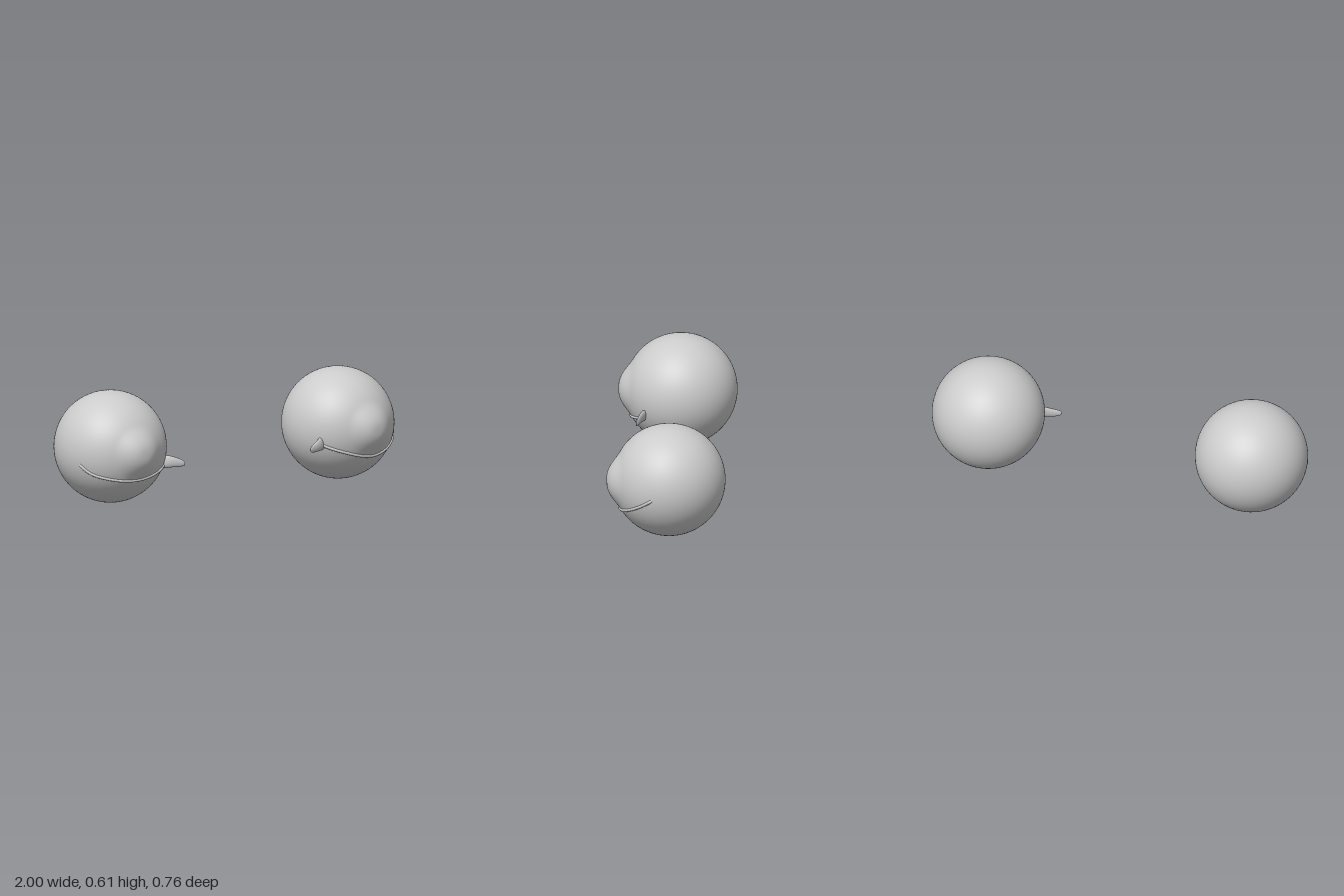
import * as THREE from 'three';

const R = 0.291;
const material = new THREE.MeshStandardMaterial({ color: 0xcccccc, roughness: 0.6, side: THREE.DoubleSide });

// Sphere whose front pole (+z) swells smoothly into a cornea
function eyeballGeometry() {
  const profile = [];
  const steps = 72;
  for (let i = 0; i <= steps; i++) {
    const a = Math.PI * (1 - i / steps); // angle from the front pole
    const r = R + 0.031 * (1 - THREE.MathUtils.smoothstep(THREE.MathUtils.radToDeg(a), 4, 31));
    profile.push(new THREE.Vector2(Math.max(0, r * Math.sin(a)), r * Math.cos(a)));
  }
  return new THREE.LatheGeometry(profile, 72).rotateX(Math.PI / 2);
}

// Thin wet line along the lower lid; points are (x, y) projected onto the ball
function tearLineGeometry(points) {
  const path = points.map(([x, y], i) => {
    const z = Math.sqrt(Math.max(0.0005, R * R - x * x - y * y));
    const end = i === points.length - 1;
    return new THREE.Vector3(x, y, z).setLength(end ? R * 0.985 : R * 1.002);
  });
  const curve = new THREE.CatmullRomCurve3(path);
  // keep the whole curve on the surface of the ball
  const onBall = curve.getPoints(40).map((p, i) => p.setLength(R * (i > 38 ? 0.98 : 1.002)));
  return new THREE.TubeGeometry(new THREE.CatmullRomCurve3(onBall), 80, 0.008, 8);
}

// Loft of flat ellipses; each section is [x, y, z, lean, halfHeight, halfDepth]
function caruncleGeometry(sections) {
  const sides = 16, pos = [], index = [];
  sections.forEach(([x, y, z, lean, h, d]) => {
    for (let j = 0; j < sides; j++) {
      const a = (j / sides) * Math.PI * 2;
      pos.push(x + lean * Math.sin(a), y + h * Math.sin(a), z + d * Math.cos(a));
    }
  });
  for (let i = 0; i < sections.length - 1; i++) {
    for (let j = 0; j < sides; j++) {
      const a = i * sides + j, b = i * sides + (j + 1) % sides;
      index.push(a, b, a + sides, b, b + sides, a + sides);
    }
  }
  // rounded-off tip
  const last = (sections.length - 1) * sides;
  const tip = sections[sections.length - 1];
  pos.push(tip[0], tip[1], tip[2]);
  for (let j = 0; j < sides; j++) index.push(last + j, last + (j + 1) % sides, last + sides);
  const g = new THREE.BufferGeometry();
  g.setAttribute('position', new THREE.Float32BufferAttribute(pos, 3));
  g.setIndex(index);
  g.computeVertexNormals();
  return g;
}

function createEye(name, { center, yaw, line, caruncle }) {
  const eye = new THREE.Group();
  eye.name = name;
  eye.position.set(...center);
  const add = (part, geometry) => {
    const mesh = new THREE.Mesh(geometry, material);
    mesh.name = part;
    eye.add(mesh);
    return mesh;
  };
  add('eyeball', eyeballGeometry()).rotation.y = yaw;
  add('tearLine', tearLineGeometry(line));
  add('caruncle', caruncleGeometry(caruncle));
  return eye;
}

export function createModel() {
  const model = new THREE.Group();
  model.name = 'eyes';

  // All part coordinates are relative to the centre of their ball
  model.add(createEye('leftEye', {
    center: [0.708, 0.292, 0.061],
    yaw: 0,
    line: [[-0.238, -0.07], [-0.14, -0.112], [0.02, -0.143], [0.15, -0.113], [0.23, -0.07], [0.272, -0.024]],
    caruncle: [
      [-0.235, -0.062, 0.145, -0.01, 0.032, 0.016],
      [-0.255, -0.064, 0.158, -0.01, 0.031, 0.015],
      [-0.285, -0.07, 0.168, -0.006, 0.026, 0.012],
      [-0.315, -0.075, 0.177, -0.003, 0.021, 0.009],
      [-0.336, -0.076, 0.183, 0.0, 0.016, 0.006],
      [-0.345, -0.077, 0.185, 0.0, 0.009, 0.003],
    ],
  }));

  model.add(createEye('rightEye', {
    center: [-0.708, 0.318, -0.089],
    yaw: -0.11,
    line: [[0.18, -0.095], [0.08, -0.122], [-0.06, -0.139], [-0.165, -0.127], [-0.243, -0.096], [-0.279, -0.045]],
    caruncle: [
      [0.182, -0.08, 0.197, 0.01, 0.032, 0.016],
      [0.205, -0.077, 0.209, 0.01, 0.032, 0.015],
      [0.235, -0.08, 0.224, 0.006, 0.027, 0.012],
      [0.262, -0.085, 0.235, 0.003, 0.022, 0.009],
      [0.283, -0.089, 0.244, 0, 0.016, 0.006],
      [0.293, -0.093, 0.248, 0, 0.008, 0.003],
    ],
  }));

  return model;
}
